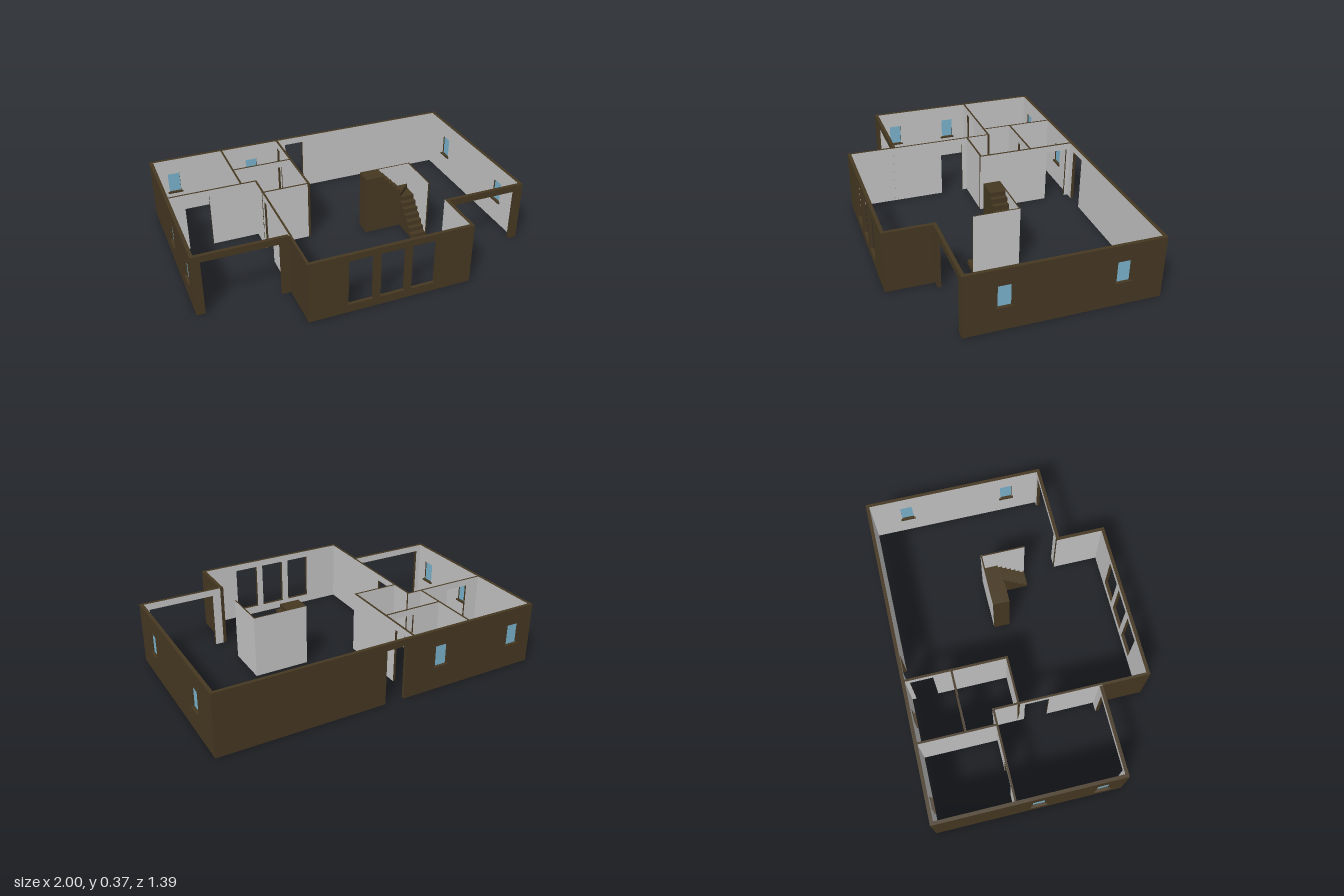
import * as THREE from 'three';

const H = 0.37, DOOR = 0.33;
const material = (name, color) => {
  const m = new THREE.MeshStandardMaterial({ color });
  m.name = name;
  return m;
};

export function createModel() {
  const model = new THREE.Group();
  model.name = 'housePlan';
  const brown = material('dark brown', 0x463822);
  const grey = material('light grey', 0xc4c4c4);
  const blue = material('window blue', 0x7ab2cc);

  // Box given by its bounds
  function block(parent, name, x0, x1, y0, y1, z0, z1, mat) {
    const mesh = new THREE.Mesh(new THREE.BoxGeometry(x1 - x0, y1 - y0, z1 - z0), mat);
    mesh.position.set((x0 + x1) / 2, (y0 + y1) / 2, (z0 + z1) / 2);
    mesh.name = name;
    parent.add(mesh);
  }

  // Wall with openings [from, to, bottom, top, glazed] along its length.
  // 'outside' is the brown face: '+x', '-x', '+z', '-z', or '' for an inner wall.
  function wall(name, x0, x1, z0, z1, outside, openings = []) {
    const group = new THREE.Group();
    group.name = name;
    const alongX = x1 - x0 > z1 - z0;
    const mats = ['+x', '-x', '+y', '-y', '+z', '-z'].map((side) => {
      const isFace = side[1] === (alongX ? 'z' : 'x');
      return isFace && side !== outside ? grey : brown;
    });
    const piece = (part, a, b, y0, y1) => {
      if (b - a < 1e-4 || y1 - y0 < 1e-4) return;
      if (alongX) block(group, part, a, b, y0, y1, z0, z1, mats);
      else block(group, part, x0, x1, y0, y1, a, b, mats);
    };
    let start = alongX ? x0 : z0;
    const end = alongX ? x1 : z1;
    for (const [a, b, y0, y1, glazed] of openings) {
      piece('wallPanel', start, a, 0, H);
      piece('belowOpening', a, b, 0, y0);
      piece('lintel', a, b, y1, H);
      if (glazed) {
        // Glass in mid wall and a sill that sticks out on both sides
        const c = alongX ? (z0 + z1) / 2 : (x0 + x1) / 2;
        const s = 0.009, d = 0.02;
        if (alongX) {
          block(group, 'windowGlass', a, b, y0, y1, c - 0.002, c + 0.002, blue);
          block(group, 'windowSill', a - s, b + s, y0 - 0.007, y0 + 0.002, c - d, c + d, brown);
        } else {
          block(group, 'windowGlass', c - 0.002, c + 0.002, y0, y1, a, b, blue);
          block(group, 'windowSill', c - d, c + d, y0 - 0.007, y0 + 0.002, a - s, b + s, brown);
        }
      }
      start = b;
    }
    piece('wallPanel', start, end, 0, H);
    model.add(group);
  }
  const pane = (c) => [c - 0.037, c + 0.037, 0.145, 0.272, true];
  const door = (a, b) => [a, b, 0, DOOR];

  // Outer walls
  wall('backWall', -0.99, 0.99, -0.69, -0.67, '-z',
    [pane(-0.855), pane(-0.35), door(-0.115, 0.005)]);
  wall('rightSideWall', -0.99, -0.97, -0.67, 0.39, '-x', [pane(-0.09), pane(0.28)]);
  wall('leftSideWall', 0.97, 0.99, -0.67, 0.39, '+x', [pane(-0.455), pane(0.19)]);
  wall('garageFrontWall', -0.99, -0.46, 0.39, 0.41, '+z', [door(-0.94, -0.51)]);
  wall('porchFrontWall', 0.5, 0.99, 0.39, 0.41, '+z', [door(0.55, 0.94)]);
  wall('bayRightWall', -0.46, -0.445, 0.41, 0.67, '-x');
  wall('bayLeftWall', 0.48, 0.5, 0.39, 0.67, '+x');
  wall('bayFrontWall', -0.46, 0.5, 0.67, 0.69, '+z',
    [-0.235, -0.05, 0.133].map((x) => [x, x + 0.143, 0.05, DOOR]));

  // Inner walls
  wall('garageInnerWall', -0.456, -0.444, -0.214, 0.41, '', [door(-0.04, 0.1)]);
  wall('garageBackWall', -0.97, -0.444, -0.226, -0.214, '', [door(-0.88, -0.735)]);
  wall('bedroomWall', -0.546, -0.534, -0.67, -0.226, '');
  wall('hallSideWall', -0.178, -0.164, -0.67, -0.07, '', [door(-0.645, -0.51)]);
  wall('hallDivider', -0.534, -0.178, -0.406, -0.394, '', [door(-0.36, -0.23)]);
  wall('closetFrontWall', -0.456, -0.178, -0.082, -0.07, '');
  wall('closetSideWall', -0.456, -0.444, -0.214, -0.082, '');

  // L-shaped stair: lower flight, two winders, upper flight, top landing
  const stair = new THREE.Group();
  stair.name = 'stair';
  model.add(stair);
  const rise = H / 13;
  for (let i = 0; i < 6; i++) {
    const run = 0.17 / 6, z = 0.19 - i * run;
    block(stair, 'lowerStep', 0.39, 0.482, 0, rise * (i + 1), z - run, z, brown);
  }
  const winder = (points, height) => {
    const shape = new THREE.Shape(points.map(([x, z]) => new THREE.Vector2(x, -z)));
    const geo = new THREE.ExtrudeGeometry(shape, { depth: height, bevelEnabled: false });
    const mesh = new THREE.Mesh(geo.rotateX(-Math.PI / 2), brown);
    mesh.name = 'cornerStep';
    stair.add(mesh);
  };
  winder([[0.39, 0.02], [0.482, 0.02], [0.482, -0.072]], rise * 7);
  winder([[0.39, 0.02], [0.482, -0.072], [0.39, -0.072]], rise * 8);
  for (let i = 0; i < 4; i++) {
    const run = 0.0275, x = 0.39 - i * run;
    block(stair, 'upperStep', x - run, x, 0, rise * (i + 9), -0.072, 0.02, brown);
  }
  block(stair, 'landing', 0.162, 0.28, 0, H, -0.072, 0.02, brown);
  wall('stairBackWall', 0.162, 0.49, -0.08, -0.072, '');
  wall('stairSideWall', 0.482, 0.49, -0.072, 0.19, '');
  // Grey facing on the corner end of the stair back wall
  block(stair, 'cornerFacing', 0.49, 0.491, 0, H, -0.08, -0.072, grey);

  return model;
}
